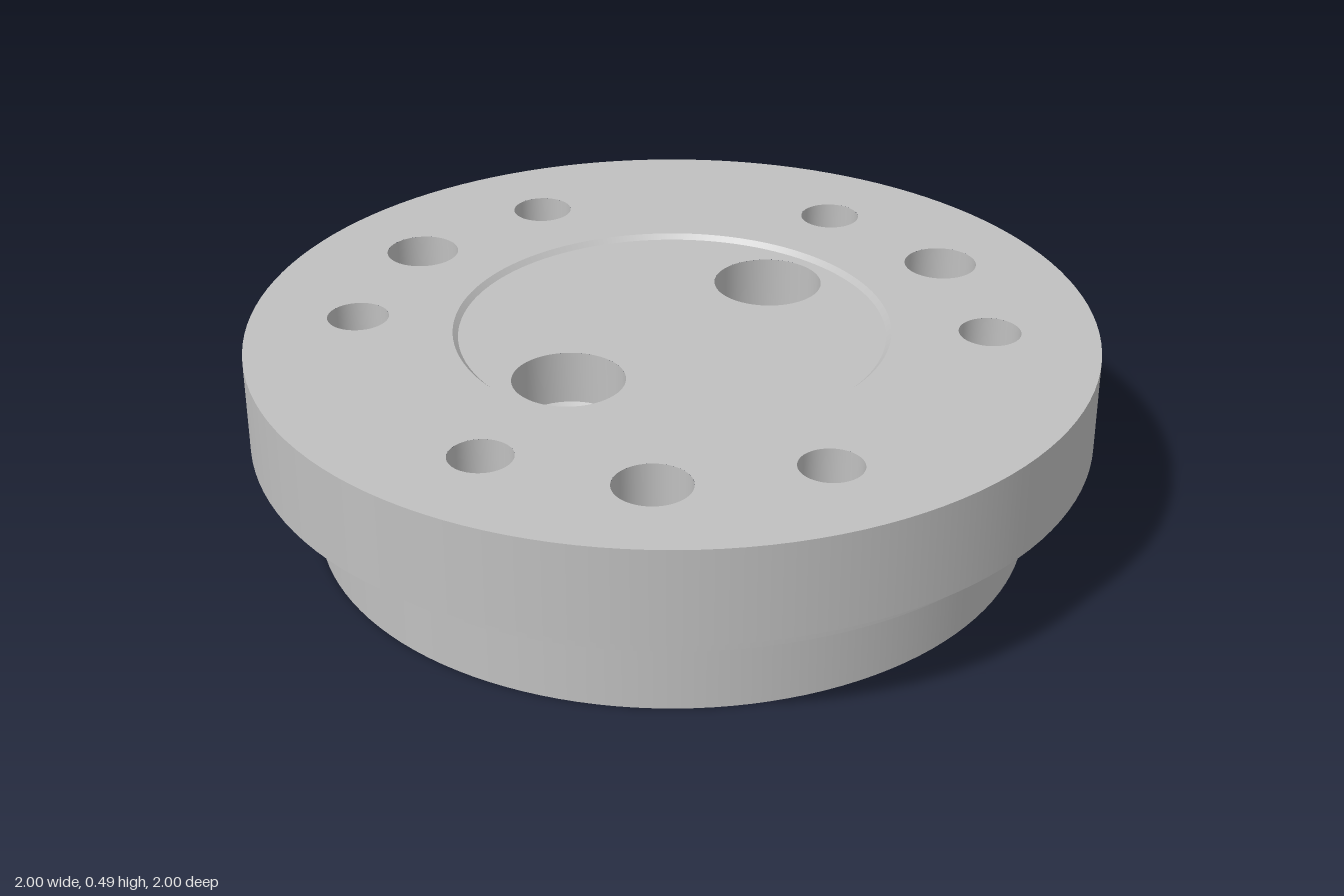
import * as THREE from 'three';
import { mergeGeometries } from 'three/addons/utils/BufferGeometryUtils.js';

const deg = Math.PI / 180;

// Revolve each profile segment separately so every edge stays sharp.
// Profiles run so that solid material lies on their left.
function revolve(profile, sides) {
  const parts = [];
  for (let i = 0; i < profile.length - 1; i++) {
    const pts = [profile[i], profile[i + 1]].map(([r, y]) => new THREE.Vector2(r, y));
    parts.push(new THREE.LatheGeometry(pts, sides));
  }
  return mergeGeometries(parts);
}

// Flat face from a shape drawn in x and z
function face(shape, y, up, segments = 48) {
  const g = new THREE.ShapeGeometry(shape, segments);
  g.rotateX(Math.PI / 2);
  if (up) {
    const a = g.index.array;
    for (let i = 0; i < a.length; i += 3) [a[i], a[i + 1]] = [a[i + 1], a[i]];
    const n = g.attributes.normal;
    for (let i = 0; i < n.count; i++) n.setXYZ(i, 0, 1, 0);
  }
  return g.translate(0, y, 0);
}

function circle(Type, x, z, r) {
  return new Type().absarc(x, z, r, 0, Math.PI * 2, false);
}

// Evenly spaced hole positions on a pitch circle
function pitch(count, radius, start) {
  return Array.from({ length: count }, (_, i) => {
    const a = (start + i * 360 / count) * deg;
    return { a, x: radius * Math.cos(a), z: radius * Math.sin(a) };
  });
}

export function createModel() {
  const group = new THREE.Group();
  const steel = new THREE.MeshStandardMaterial({ color: 0xc0c0c0 });
  steel.name = 'steel grey';

  function add(name, geometry, x = 0, z = 0) {
    const mesh = new THREE.Mesh(geometry, steel);
    mesh.name = name;
    mesh.position.set(x, 0, z);
    group.add(mesh);
  }

  const top = 0.49, recess = 0.478, bore = 0.37, ledge = 0.18;

  // Hole patterns
  const patterns = [
    { name: 'topDrilledHole', up: true, r: 0.073, at: pitch(6, 0.745, 24),
      profile: [[0.073, top], [0.073, 0.34], [0, 0.30]] },
    { name: 'topPinHole', up: true, r: 0.088, at: pitch(3, 0.745, 54),
      profile: [[0.088, top], [0.088, 0.30], [0, 0.30]] },
    { name: 'bottomSmallHole', up: false, r: 0.07, at: pitch(6, 0.71, -16),
      profile: [[0, 0.22], [0.07, 0.18], [0.07, 0]] },
    { name: 'bottomLargeHole', up: false, r: 0.14, at: pitch(3, 0.68, -51),
      profile: [[0, 0.20], [0.14, 0.20], [0.14, 0]] },
  ];

  // Stepped outer wall
  add('outerWall', revolve([[0.855, 0], [0.855, 0.205], [0.94, 0.205],
    [0.94, 0.26], [1, 0.26], [1, top]], 128));

  // Annular top and bottom faces with their hole openings
  const topShape = circle(THREE.Shape, 0, 0, 1);
  topShape.holes.push(circle(THREE.Path, 0, 0, 0.515));
  const bottomShape = circle(THREE.Shape, 0, 0, 0.855);
  bottomShape.holes.push(circle(THREE.Path, 0, 0, bore));
  for (const p of patterns) {
    const hole = revolve(p.profile, 48);
    for (const { x, z } of p.at) {
      (p.up ? topShape : bottomShape).holes.push(circle(THREE.Path, x, z, p.r));
      add(p.name, hole, x, z);
    }
  }
  add('topFace', face(topShape, top, true, 64));
  add('bottomFace', face(bottomShape, 0, false, 64));

  // Shallow recessed centre with a sloping rim
  add('recessRim', revolve([[0.515, top], [0.503, recess]], 128));
  const screwHoles = pitch(2, 0.345, 93.6);
  const centre = circle(THREE.Shape, 0, 0, 0.503);
  for (const { x, z } of screwHoles) centre.holes.push(circle(THREE.Path, x, z, 0.13));
  add('recessFace', face(centre, recess, true, 64));

  // Counterbored screw holes running down to the inner ledge
  const d = 0.345, r = 0.045;
  const screw = revolve([[0.13, recess], [0.13, 0.35], [0.063, 0.312],
    [0.063, 0.27], [r, 0.27], [r, ledge]], 48);
  for (const { x, z } of screwHoles) add('screwHole', screw, x, z);

  // Central bore, stepped ceiling and centre drill hole
  add('boreWall', revolve([[bore, ledge], [bore, 0]], 96));
  add('boreCeiling', revolve([[0, 0.28], [0.05, 0.26], [0.05, 0.225], [0.25, 0.225],
    [0.25, 0.205], [0.295, 0.205], [0.295, ledge]], 96));

  // Ledge inside the bore, notched where the screw holes break through
  const alpha = Math.acos((d * d + bore * bore - r * r) / (2 * d * bore));
  const beta = Math.atan2(bore * Math.sin(alpha), bore * Math.cos(alpha) - d);
  const ledgeShape = new THREE.Shape();
  screwHoles.forEach(({ a, x, z }) => {
    ledgeShape.absarc(x, z, r, a - beta, a + beta, true);
    ledgeShape.absarc(0, 0, bore, a + alpha, a + Math.PI - alpha, false);

    // Sliver of floor where the screw hole overlaps the bore wall
    const sliver = new THREE.Shape();
    sliver.absarc(x, z, r, a - beta, a + beta, false);
    sliver.absarc(0, 0, bore, a + alpha, a - alpha, true);
    add('screwHoleFloor', face(sliver, ledge, true, 12));
  });
  ledgeShape.holes.push(circle(THREE.Path, 0, 0, 0.295));
  add('boreLedge', face(ledgeShape, ledge, false));

  return group;
}
